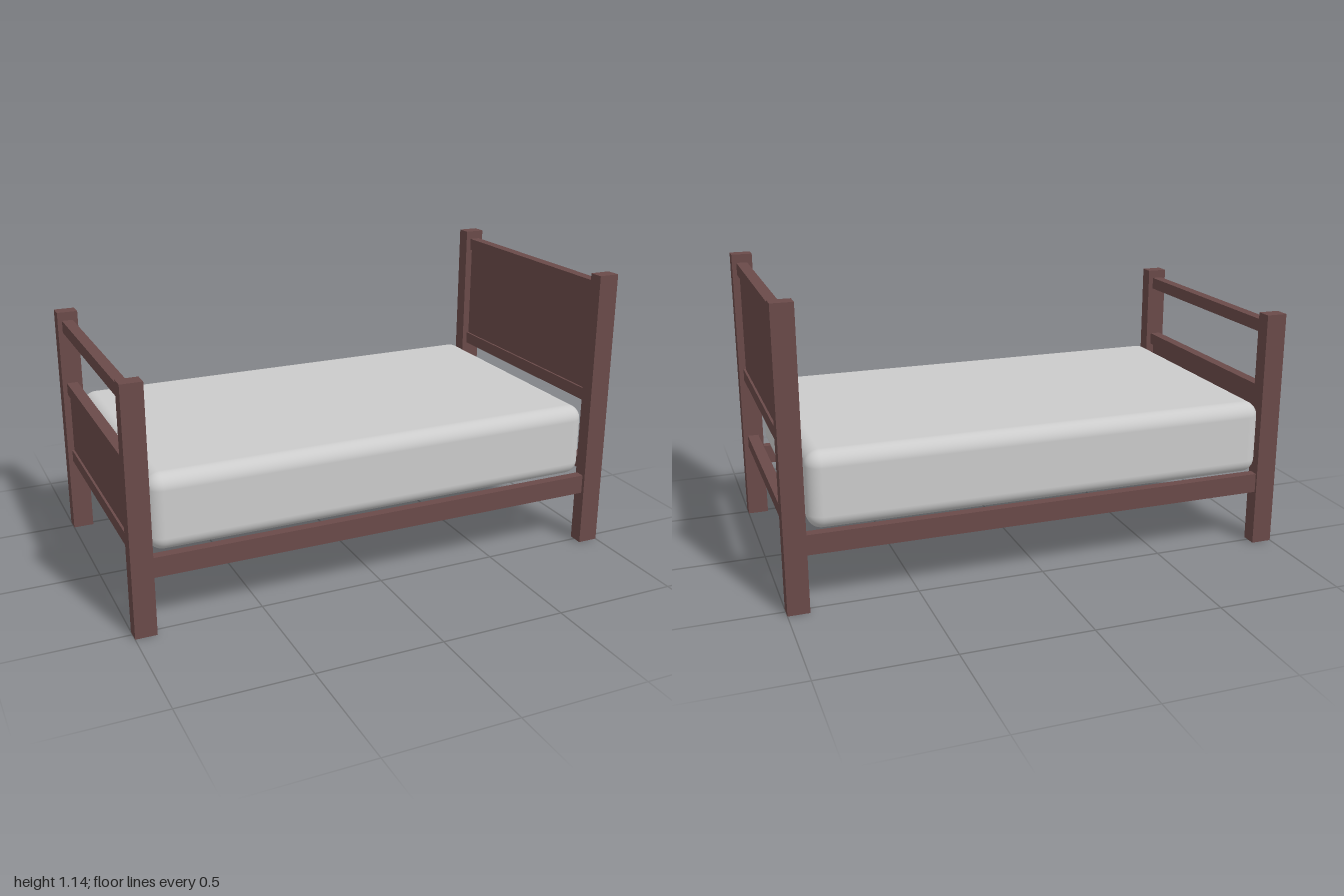
import * as THREE from 'three';
import { RoundedBoxGeometry } from 'three/addons/geometries/RoundedBoxGeometry.js';

export function createModel() {
  const bed = new THREE.Group();
  bed.name = 'bed';
  const wood = new THREE.MeshStandardMaterial({ color: 0x6a4a49 });
  const fabric = new THREE.MeshStandardMaterial({ color: 0xcccccc });

  // Box given by its limits on each axis
  function beam(parent, name, [x0, x1], [y0, y1], [z0, z1]) {
    const mesh = new THREE.Mesh(new THREE.BoxGeometry(x1 - x0, y1 - y0, z1 - z0), wood);
    mesh.position.set((x0 + x1) / 2, (y0 + y1) / 2, (z0 + z1) / 2);
    mesh.name = name;
    parent.add(mesh);
  }

  // Bed end: two posts, cross rails and a thin inset panel
  function bedEnd(name, side, postHeight, rails, panelY) {
    const end = new THREE.Group();
    end.name = name;
    const span = (a, b) => (side > 0 ? [a, b] : [-b, -a]);
    beam(end, 'frontPost', span(0.917, 1), [0, postHeight], [0.478, 0.538]);
    beam(end, 'backPost', span(0.917, 1), [0, postHeight], [-0.538, -0.476]);
    for (const [railName, y] of rails) {
      beam(end, railName, span(0.938, 0.982), [y, y + 0.05], [-0.477, 0.479]);
    }
    beam(end, 'panel', span(0.947, 0.973), panelY, [-0.477, 0.467]);
    bed.add(end);
  }

  bedEnd('headboard', 1, 1.145,
    [['topRail', 1.06], ['middleRail', 0.607], ['bottomRail', 0.308]], [0.655, 1.062]);
  bedEnd('footboard', -1, 0.96,
    [['topRail', 0.875], ['middleRail', 0.607], ['bottomRail', 0.308]], [0.356, 0.61]);

  // Long side rails between the posts
  for (const [name, z] of [['frontSideRail', 0.505], ['backSideRail', -0.51]]) {
    beam(bed, name, [-0.92, 0.92], [0.222, 0.3], [z - 0.019, z + 0.019]);
  }

  // Mattress with rounded edges
  const mattress = new THREE.Mesh(new RoundedBoxGeometry(1.825, 0.295, 1.062, 6, 0.056), fabric);
  mattress.position.set(-0.006, 0.455, -0.008);
  mattress.name = 'mattress';
  bed.add(mattress);

  return bed;
}
